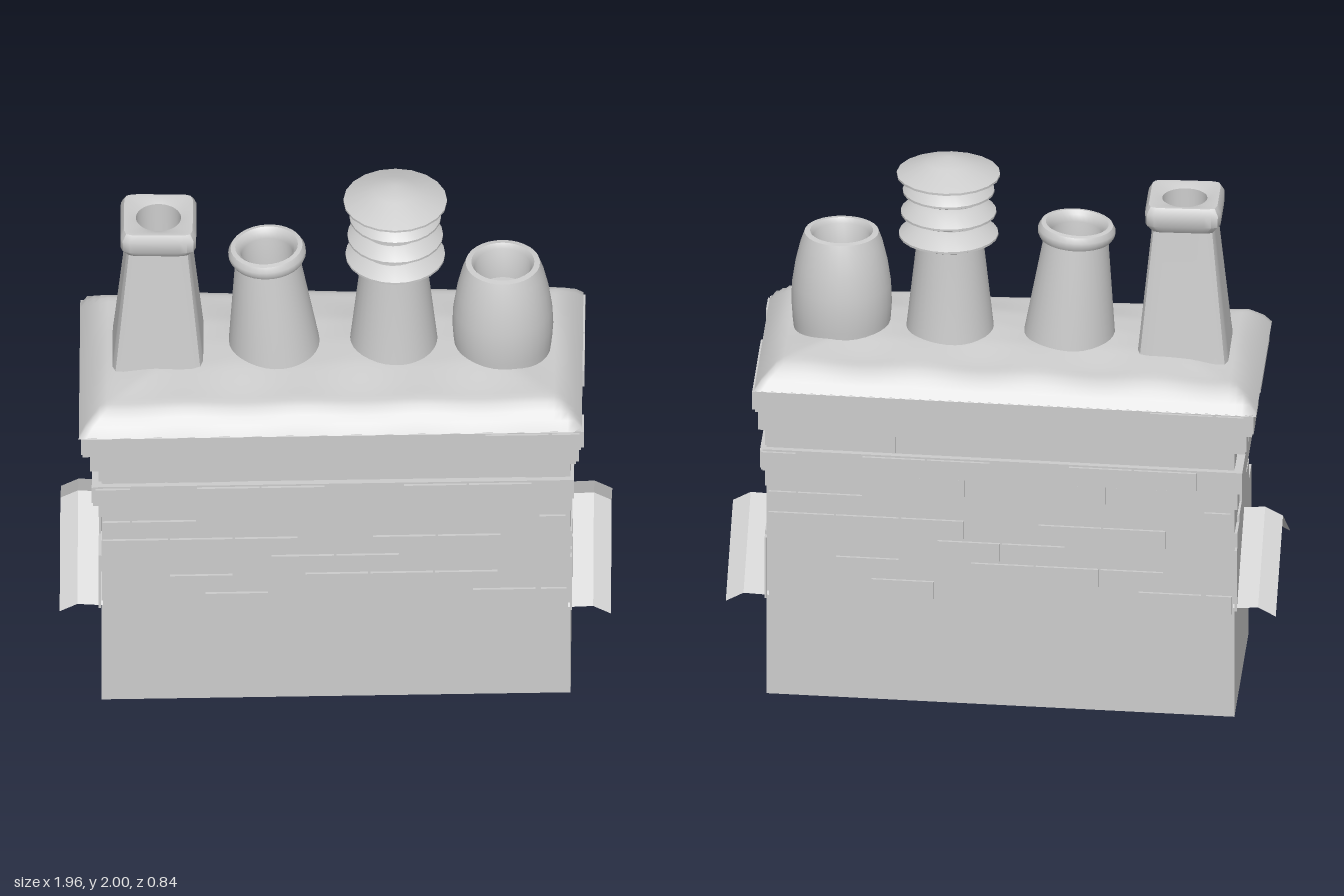
import * as THREE from 'three';
import { toCreasedNormals } from 'three/addons/utils/BufferGeometryUtils.js';

const TILT = 0.024; // the whole stack leans up slightly towards +x

export function createModel() {
  const root = new THREE.Group();
  root.name = 'chimneyStack';
  const clay = new THREE.MeshStandardMaterial({ color: 0xcccccc, side: THREE.DoubleSide });
  clay.name = 'plainGrey';

  const add = (name, geo, parent = root) => {
    const mesh = new THREE.Mesh(geo, clay);
    mesh.name = name;
    parent.add(mesh);
    return mesh;
  };
  // Move every vertex by a rule
  const warp = (geo, rule) => {
    const p = geo.attributes.position, v = new THREE.Vector3();
    for (let i = 0; i < p.count; i++) {
      v.fromBufferAttribute(p, i);
      rule(v, i);
      p.setXYZ(i, v.x, v.y, v.z);
    }
    geo.computeVertexNormals();
    return geo;
  };
  const tilt = geo => warp(geo, v => { v.y += TILT * v.x; });
  const box = (x0, x1, y0, y1, z0, z1) => tilt(
    new THREE.BoxGeometry(x1 - x0, y1 - y0, z1 - z0).translate((x0 + x1) / 2, (y0 + y1) / 2, (z0 + z1) / 2));

  // Main brick body, open underneath
  const body = box(-0.83, 0.835, 0.02, 1.15, -0.355, 0.355);
  body.setIndex([...body.index.array].filter((_, i) => i < 18 || i >= 24));
  add('body', body);

  // Courses of bricks: some rows step outwards as bands
  const rowY = k => 0.455 + 0.0805 * k;
  const stepOut = { 6: 0.022, 8: 0.032, 9: 0.056 };
  const out = k => stepOut[k] || 0;
  for (const k of [6, 8, 9]) {
    const o = out(k);
    add('corbelBand', box(-0.835 - o * 1.1, 0.83 + o * 0.75, rowY(k) - 0.041, rowY(k) + 0.041, -0.355 - o, 0.355 + o));
  }

  // Raised bricks: [row, start, number of bricks, width of one brick]
  const W = 0.23;
  const faceBricks = [
    [0, -0.465, 1, W], [0, 0.485, 1, W], [0, 0.725, 1, 0.1],
    [1, -0.59, 1, W], [1, -0.11, 3, W],
    [2, -0.23, 2, W],
    [3, -0.83, 1, 0.24], [3, -0.59, 2, W], [3, 0.13, 2, W],
    [4, -0.83, 1, 0.105], [4, -0.725, 1, 0.235], [4, 0.72, 1, 0.1],
    [5, -0.355, 1, W], [5, 0.145, 2, W],
    [6, -0.855, 1, 0.13], [6, -0.495, 2, W], [6, 0.24, 2, W],
    [7, -0.83, 2, W], [7, 0.67, 1, 0.15],
    [8, -0.865, 1, 0.11], [8, -0.755, 1, W], [8, -0.27, 2, W],
    [9, 0.53, 1, W], [9, 0.765, 1, 0.105],
  ];
  const endBricks = [
    [2, 0.12, 1, W], [2, -0.35, 1, 0.1], [3, 0.245, 1, 0.105],
    [5, 0, 1, W], [5, 0.24, 1, 0.115], [5, -0.35, 1, 0.1],
    [6, -0.375, 1, W], [7, -0.235, 1, W], [7, -0.355, 1, 0.1],
    [8, 0.065, 1, W], [8, 0.295, 1, 0.09],
    [9, -0.18, 1, W], [9, -0.41, 1, W], [9, 0.3, 1, 0.11],
  ];
  const bricks = new THREE.Group();
  bricks.name = 'raisedBricks';
  root.add(bricks);
  const G = 0.004, H = 0.034, P = 0.01;
  for (const s of [1, -1]) {
    const span = (a, b) => (s > 0 ? [a, b] : [-b, -a]);
    for (const [k, start, n, w] of faceBricks) for (let i = 0; i < n; i++) {
      const a = start + i * w, z = 0.355 + out(k);
      add('faceBrick', box(...span(a + G, a + w - G), rowY(k) - H, rowY(k) + H, ...span(z - 0.02, z + P)), bricks);
    }
    for (const [k, start, n, w] of endBricks) for (let i = 0; i < n; i++) {
      const a = start + i * w, x = 0.83 + out(k) * (s > 0 ? 0.75 : 1.1);
      add('endBrick', box(...span(x - 0.02, x + P), rowY(k) - H, rowY(k) + H, ...span(a + G, a + w - G)), bricks);
    }
  }

  // Mortar cap: a mound that rises quickly from its edge
  const rise = [[0, 0], [0.025, 0.035], [0.08, 0.083], [0.16, 0.093], [0.28, 0.112], [0.5, 0.118]];
  const height = d => {
    const i = Math.max(1, rise.findIndex(r => r[0] >= d));
    const [a, b] = [rise[i - 1], rise[i]];
    return a[1] + (b[1] - a[1]) * (d - a[0]) / (b[0] - a[0]);
  };
  const cap = new THREE.PlaneGeometry(1.785, 0.825, 72, 34).rotateX(-Math.PI / 2);
  add('mortarCap', warp(cap, v => {
    const d = Math.max(0, Math.min(0.8925 - Math.abs(v.x), 0.4125 - Math.abs(v.z)));
    const ripple = 0.007 * Math.sin(v.x * 15) * Math.sin(v.z * 9 + 1) * Math.min(1, d * 8);
    v.x -= 0.0175;
    v.y = 1.218 + height(d) + ripple + TILT * v.x;
  }));

  // Chimney pots turned from profiles
  const pots = new THREE.Group();
  pots.name = 'pots';
  root.add(pots);
  const lathe = (profile, sides) =>
    new THREE.LatheGeometry(profile.map(p => new THREE.Vector2(...p)), sides);
  const finish = (name, geo, x, z) =>
    add(name, toCreasedNormals(geo, 0.7), pots).position.set(x, 0, z);

  // Square pot with a round flue
  const square = lathe([[0.165, 1.27], [0.158, 1.33], [0.112, 1.775], [0.134, 1.805], [0.135, 1.85],
    [0.122, 1.874], [0.108, 1.874], [0.08, 1.862], [0.078, 1.7], [0, 1.7]], 48);
  warp(square, v => {
    const r = Math.hypot(v.x, v.z);
    if (r < 0.1) return;
    const k = Math.pow(Math.abs(v.x / r) ** 10 + Math.abs(v.z / r) ** 10, -0.1);
    v.x *= k;
    v.z *= k;
  });
  finish('squarePot', square, -0.63, -0.015);

  // Round pot with a rolled rim, leaning a little
  const rolled = lathe([[0.167, 1.27], [0.16, 1.34], [0.115, 1.69], [0.13, 1.695], [0.138, 1.71], [0.138, 1.727],
    [0.128, 1.745], [0.112, 1.748], [0.098, 1.735], [0.092, 1.71], [0.09, 1.58], [0, 1.58]], 32);
  warp(rolled, v => {
    v.y += Math.max(0, v.y - 1.6) * 0.45 * v.x;
    v.x -= 0.065 * (v.y - 1.34);
  });
  finish('rolledRimPot', rolled, -0.22, -0.005);

  // Tapered pot carrying a louvred cowl
  finish('louvrePot', lathe([[0.162, 1.27], [0.155, 1.34], [0.115, 1.7], [0.11, 1.93]], 32), 0.205, -0.01);
  [[1.865, 0.163], [1.782, 0.17], [1.697, 0.177]].forEach(([y, r]) =>
    finish('louvre', lathe([[0.1, y - 0.012], [r - 0.025, y - 0.012], [r, y], [r, y + 0.008], [0.128, y + 0.043], [0.1, y + 0.055]], 24),
      0.21, -0.02));
  finish('cowlRoof', lathe([[0.1, 1.918], [0.15, 1.918], [0.184, 1.93], [0.184, 1.938], [0.08, 1.982], [0, 2]], 20), 0.21, -0.025);

  // Barrel-shaped pot
  finish('barrelPot', lathe([[0.165, 1.27], [0.175, 1.36], [0.179, 1.42], [0.176, 1.49], [0.164, 1.57],
    [0.146, 1.645], [0.132, 1.685], [0.112, 1.688], [0.1, 1.67], [0.092, 1.55], [0, 1.55]], 32), 0.592, 0.005);

  // Ends: gabled canopy and stepped flashing above it
  const steps = [[0.375, 0.42], [0.375, 0.655], [0.245, 0.655], [0.245, 0.735], [0.12, 0.735], [0.12, 0.815]];
  const outline = [...steps, ...steps.map(([z, y]) => [-z, y]).reverse(), [0, 0.645]];
  for (const s of [1, -1]) {
    const end = new THREE.Group();
    end.name = s > 0 ? 'leftEnd' : 'rightEnd';
    end.rotation.y = s > 0 ? 0 : Math.PI;
    root.add(end);
    const plate = new THREE.ExtrudeGeometry(new THREE.Shape(outline.map(p => new THREE.Vector2(...p))),
      { depth: 0.008, bevelEnabled: false });
    add('steppedFlashing', plate.rotateY(Math.PI / 2).translate(0.832, 0, 0), end);

    const sheet = new THREE.PlaneGeometry(2, 2, 2, 2).rotateX(-Math.PI / 2);
    const reach = [[0.825, 0], [0.915, 0.005], [0.978, -0.028]];
    warp(sheet, v => {
      const [x, dy] = reach[Math.round(v.x) + 1];
      v.y = 0.656 + dy - 0.226 * Math.abs(v.z);
      v.x = x;
      v.z *= 0.37;
    });
    add('gableCanopy', toCreasedNormals(sheet, 0.3), end);
  }
  return root;
}
